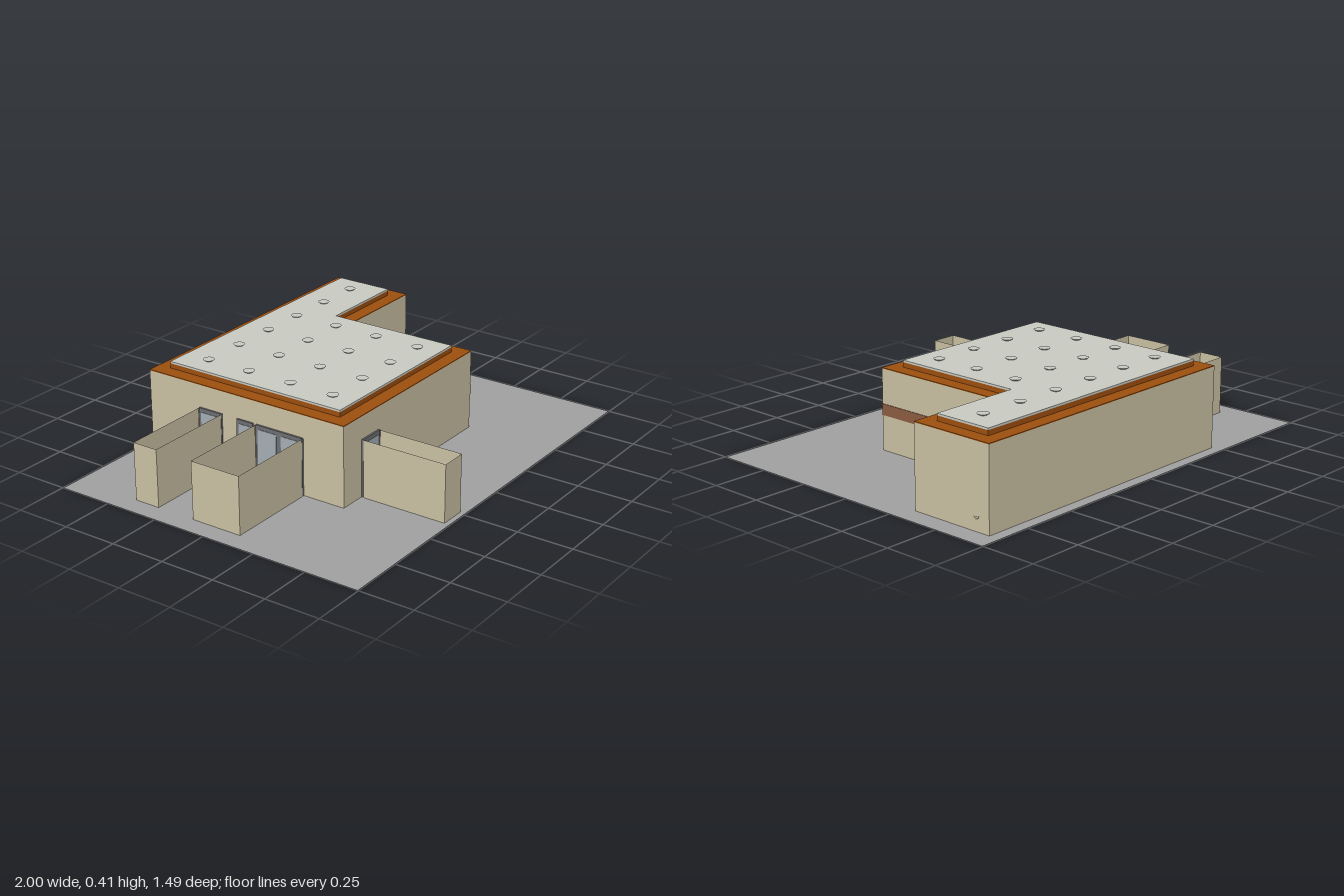
import * as THREE from 'three';

const mat = (name, color, side = THREE.FrontSide) => {
  const m = new THREE.MeshStandardMaterial({ color, side });
  m.name = name;
  return m;
};

export function createModel() {
  const model = new THREE.Group();
  const beige = mat('beige plaster', 0xc9bfa2, THREE.DoubleSide);
  const orange = mat('rust orange trim', 0x9c4e0e);
  const roofWhite = mat('pale roof', 0xc8c9c1);
  const paving = mat('grey paving', 0xa0a0a0, THREE.DoubleSide);
  const brick = mat('brown band', 0x8b5a40);
  const frameGrey = mat('door frame grey', 0x6c6f72);
  const glass = mat('door glass', 0xa4adb5);

  const add = (name, geometry, material, x = 0, y = 0, z = 0, parent = model) => {
    const mesh = new THREE.Mesh(geometry, material);
    mesh.name = name;
    mesh.position.set(x, y, z);
    parent.add(mesh);
    return mesh;
  };
  const box = (w, h, d) => new THREE.BoxGeometry(w, h, d);

  // L-shaped slab from y0 to y1, pulled in from the outer walls by inset
  const slab = (name, material, y0, y1, inset = 0) => {
    const x0 = -0.482 + inset, x1 = 0.488 - inset, x2 = 0.91 - inset;
    const back = 0.698 - inset, notch = 0.302 + inset, front = -0.318 + inset;
    const shape = new THREE.Shape([
      [x0, front], [x1, front], [x1, notch], [x2, notch], [x2, back], [x0, back],
    ].map(([x, y]) => new THREE.Vector2(x, y)));
    const g = new THREE.ExtrudeGeometry(shape, { depth: y1 - y0, bevelEnabled: false });
    return add(name, g.rotateX(-Math.PI / 2), material, 0, y0, 0);
  };

  // Ground and main building
  add('ground', new THREE.PlaneGeometry(2, 1.494).rotateX(-Math.PI / 2), paving);
  slab('walls', beige, 0.001, 0.365);
  slab('parapetCap', orange, 0.365, 0.369);
  slab('roofFascia', orange, 0.369, 0.391, 0.063);
  slab('roofPanel', roofWhite, 0.391, 0.4, 0.063);

  // Low roof vents on a regular grid, with two more over the wing
  const ventShape = new THREE.CylinderGeometry(0.026, 0.018, 0.006, 16);
  const vents = new THREE.Group();
  vents.name = 'roofVents';
  model.add(vents);
  for (let i = 0; i < 6; i++) {
    for (let j = 0; j < 4; j++) {
      if (i > 3 && j > 0) continue;
      add('vent', ventShape, roofWhite, -0.316 + i * 0.211, 0.403, -0.507 + j * 0.218, vents);
    }
  }

  // Strip window band on the long side, and a small spout on the wing
  add('sideBand', box(0.004, 0.05, 0.53), brick, 0.489, 0.185, 0.053);
  add('spout', new THREE.SphereGeometry(0.014, 12, 6, 0, Math.PI * 2, Math.PI / 2, Math.PI / 2)
    .scale(0.4, 0.9, 1), beige, 0.91, 0.065, -0.63);

  // Glazed door lying against a wall, facing local +z
  const door = (name, width, leaves) => {
    const g = new THREE.Group();
    g.name = name;
    add('doorFrame', box(width, 0.262, 0.008), frameGrey, 0, 0.132, 0.004, g);
    const w = width / leaves;
    for (let i = 0; i < leaves; i++) {
      add('doorGlass', box(w - 0.024, 0.23, 0.002), glass, (i + 0.5) * w - width / 2, 0.13, 0.009, g);
    }
    return g;
  };

  // Roofless porch: two side screens and an end screen around a door
  const porch = (name, width, leaves) => {
    const g = door(name, width, leaves);
    const length = 0.395, start = 0.01, height = 0.262;
    for (const s of [-1, 1]) {
      add('sideScreen', new THREE.PlaneGeometry(length, height).rotateY(s * Math.PI / 2),
        beige, s * width / 2, height / 2, start + length / 2, g);
    }
    add('endScreen', new THREE.PlaneGeometry(width, height), beige, 0, height / 2, start + length, g);
    model.add(g);
    return g;
  };
  porch('frontPorch', 0.12, 1).position.set(-0.295, 0, 0.318);

  const sidePorches = [['rearSidePorch', 0.12, 1, -0.365], ['wideSidePorch', 0.24, 2, -0.004]];
  for (const [name, width, leaves, z] of sidePorches) {
    const p = porch(name, width, leaves);
    p.position.set(-0.482, 0, z);
    p.rotation.y = -Math.PI / 2;
    p.scale.z = 1.055;
  }

  // Narrow door between the side porches
  const narrow = door('narrowSideDoor', 0.085, 1);
  narrow.position.set(-0.482, 0, -0.182);
  narrow.rotation.y = -Math.PI / 2;
  model.add(narrow);

  return model;
}
